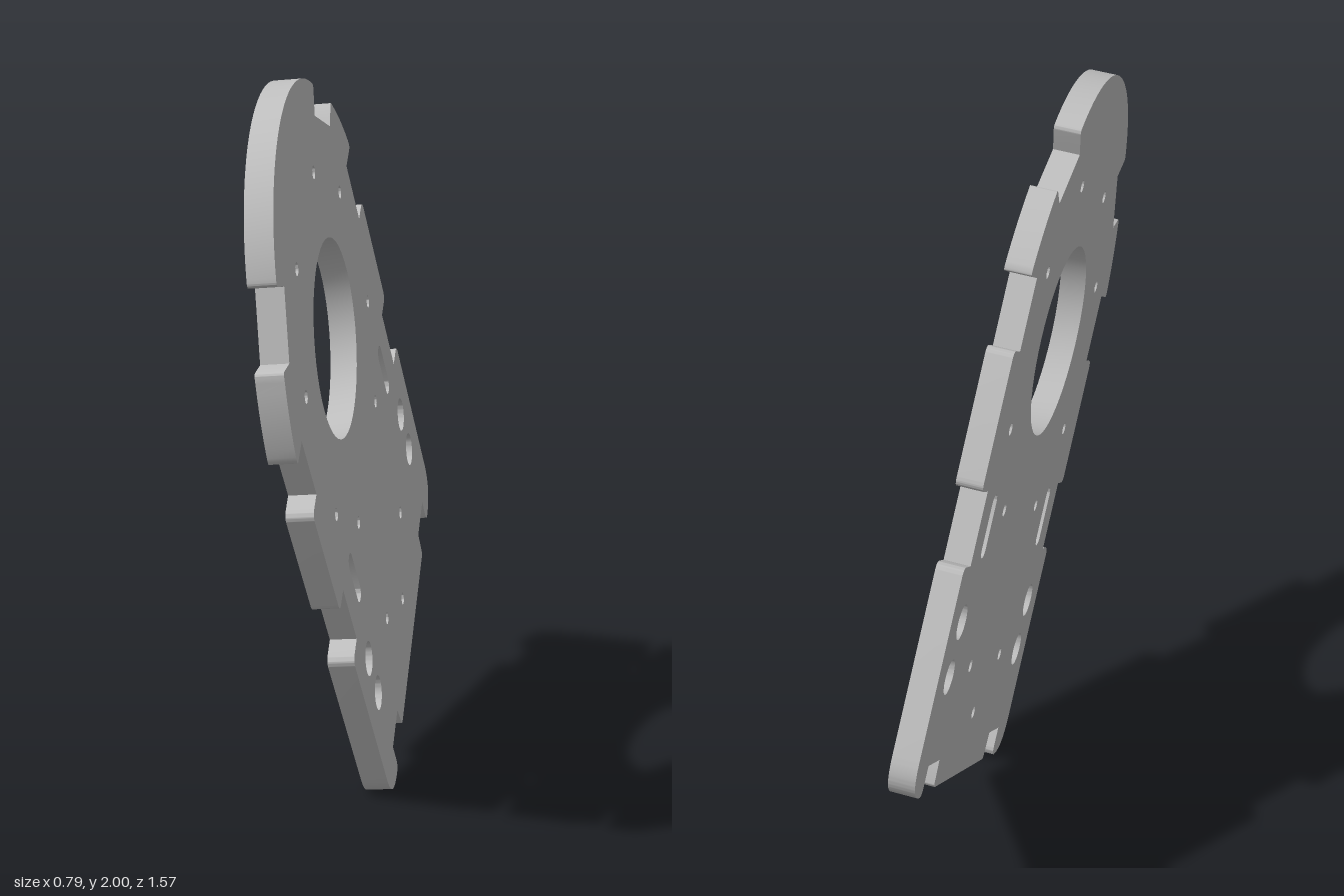
import * as THREE from 'three';
import { toCreasedNormals } from 'three/addons/utils/BufferGeometryUtils.js';

const THICK = 0.072;

// Points along an elliptical edge centred at height v0; angles run from the long axis
const arc = (a, b, v0, from, to, n) =>
  Array.from({ length: n + 1 }, (_, i) => {
    const t = from + ((to - from) * i) / n;
    return [a * Math.sin(t), v0 + b * Math.cos(t), 0];
  });

// Right half of the outline, top to bottom: [u, v, corner radius]
const half = [
  // dome and slanted notch
  ...arc(0.465, 0.465, 0.264, 0.03, 0.9, 16), [0.376, 0.537, 0.012],
  [0.318, 0.483, 0], [0.44, 0.345, 0],
  // shoulder tab
  [0.503, 0.376, 0.012], ...arc(0.607, 0.665, 0, 1.01, 1.31, 8), [0.59, 0.148, 0.012],
  // side tabs
  [0.51, 0.148, 0], [0.51, -0.042, 0],
  [0.583, -0.042, 0.025], [0.583, -0.405, 0.025],
  [0.51, -0.405, 0], [0.51, -0.6, 0],
  // rounded foot and bottom edge
  [0.586, -0.6, 0.025], [0.587, -1.212, 0.11],
  [0.458, -1.212, 0.025], [0.458, -1.13, 0],
  [0.328, -1.13, 0], [0.32, -1.206, 0.015],
];

// Closed shape with softened corners
function roundedShape(points) {
  const shape = new THREE.Shape();
  const at = (i) => points[(i + points.length) % points.length];
  const toward = (p, q, r) => {
    const k = r / Math.hypot(q[0] - p[0], q[1] - p[1]);
    return [p[0] + (q[0] - p[0]) * k, p[1] + (q[1] - p[1]) * k];
  };
  points.forEach((p, i) => {
    const a = p[2] ? toward(p, at(i - 1), p[2]) : p;
    if (i === 0) shape.moveTo(a[0], a[1]);
    else shape.lineTo(a[0], a[1]);
    if (p[2]) shape.quadraticCurveTo(p[0], p[1], ...toward(p, at(i + 1), p[2]));
  });
  shape.closePath();
  return shape;
}

// Holes wind opposite to the clockwise outline so their walls face inward
function circle(u, v, r) {
  return new THREE.Path().absarc(u, v, r, 0, Math.PI * 2, false);
}

function slot(u, v, halfLength, r) {
  const path = new THREE.Path();
  path.absarc(u, v + halfLength - r, r, 0, Math.PI, false);
  path.absarc(u, v - halfLength + r, r, Math.PI, Math.PI * 2, false);
  path.closePath();
  return path;
}

export function createModel() {
  const group = new THREE.Group();
  group.name = 'mountingPlate';
  const grey = new THREE.MeshStandardMaterial({ color: 0xc0c0c0 });
  grey.name = 'grey metal';

  // Notched outline, mirrored about the long axis
  const left = half.map(([u, v, r]) => [-u, v, r]).reverse();
  const shape = roundedShape([...half, ...left]);

  // Large bore and bottom screw hole on the axis, the rest in mirrored pairs
  shape.holes.push(circle(0, 0, 0.262), circle(0, -1.036, 0.017));
  const pairs = [
    [0.18, 0.412, 0.017], [0.38, 0.17, 0.017], [0.395, -0.243, 0.017],
    [0.225, -0.462, 0.017], [0.197, -0.888, 0.017],
    [0.454, -0.75, 0.047], [0.454, -0.895, 0.047],
  ];
  for (const side of [1, -1]) {
    for (const [u, v, r] of pairs) shape.holes.push(circle(side * u, v, r));
    shape.holes.push(slot(side * 0.386, -0.5, 0.085, 0.025));
  }

  let geometry = new THREE.ExtrudeGeometry(shape, {
    depth: THICK, bevelEnabled: false, curveSegments: 24,
  });
  geometry = toCreasedNormals(geometry, 0.55);

  // Lean the plate into its tilted plane
  const n = new THREE.Vector3(0.878, 0.108, -0.466).normalize();
  const v = new THREE.Vector3(0.143, 0.87, 0.472).projectOnPlane(n).normalize();
  const u = new THREE.Vector3().crossVectors(v, n);
  geometry.applyMatrix4(new THREE.Matrix4().makeBasis(u, v, n));

  // Stand on the ground, centred
  geometry.computeBoundingBox();
  const c = geometry.boundingBox.getCenter(new THREE.Vector3());
  geometry.translate(-c.x, -geometry.boundingBox.min.y, -c.z);

  const plate = new THREE.Mesh(geometry, grey);
  plate.name = 'plate';
  group.add(plate);
  return group;
}
